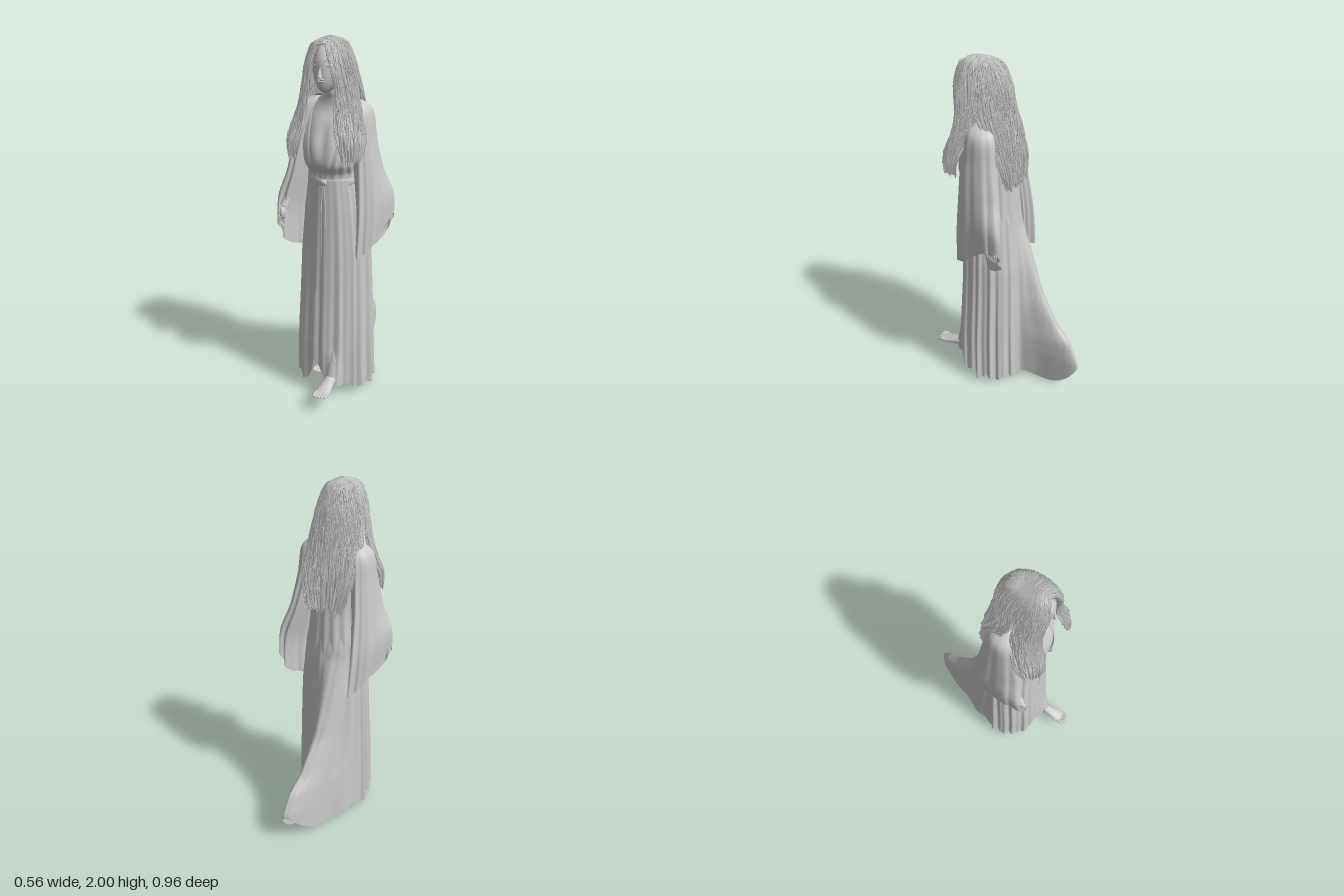
import * as THREE from 'three';
import { ParametricGeometry } from 'three/addons/geometries/ParametricGeometry.js';

const TAU = Math.PI * 2;
const { sin, cos, exp, max, min, abs, floor, PI } = Math;
const mat = new THREE.MeshStandardMaterial({ color: 0xcccccc, side: THREE.DoubleSide });
const V = (x, y, z) => new THREE.Vector3(x, y, z);
const lerp = THREE.MathUtils.lerp;

function seeded(seed) {
  return () => (seed = (seed * 16807) % 2147483647) / 2147483647;
}

// smooth interpolation through a list of equal-length rows, t = 0..1
function rowsAt(rows, t) {
  const n = rows.length - 1, f = min(max(t, 0), 1) * n, i = min(floor(f), n - 1), k = f - i;
  const r = j => rows[min(max(j, 0), n)];
  return rows[i].map((_, c) => {
    const a = r(i - 1)[c], b = r(i)[c], d = r(i + 1)[c], e = r(i + 2)[c];
    return b + 0.5 * k * (d - a + k * (2 * a - 5 * b + 4 * d - e + k * (3 * (b - d) + e - a)));
  });
}

// value of y-sorted (descending) stops at a height
function byHeight(stops, y) {
  for (let i = 1; i < stops.length; i++) {
    const [ya, a] = stops[i - 1], [yb, b] = stops[i];
    if (y >= yb) return lerp(a, b, min(max((ya - y) / (ya - yb), 0), 1));
  }
  return stops[stops.length - 1][1];
}

function add(parent, name, geometry) {
  const m = new THREE.Mesh(geometry, mat);
  m.name = name;
  parent.add(m);
  return m;
}
const surface = (fn, nu, nv) =>
  new ParametricGeometry((u, v, p) => p.copy(fn(u, v)), nu, nv);
const tube = (pts, r, seg = 8, sides = 6) =>
  new THREE.TubeGeometry(new THREE.CatmullRomCurve3(pts), seg, r, sides);
function ellipsoid(parent, name, pos, scale) {
  const m = add(parent, name, new THREE.SphereGeometry(1, 24, 16));
  m.position.set(...pos);
  m.scale.set(...scale);
  return m;
}

// ---- skirt surface: a = angle from the front, v = waist to hem ----
const BACK = PI + 0.42;
const widthStops = [[1.27, 0.14], [1.1, 0.168], [0.85, 0.192], [0.4, 0.21], [0, 0.22]];
const frontStops = [[1.27, 0.24], [1, 0.25], [0.6, 0.27], [0.3, 0.292], [0, 0.298]];
const rearStops = [[1.27, -0.03], [1.1, -0.06], [0.8, -0.085], [0, -0.1]];
const trainStops = [[1.05, 0], [0.8, 0.065], [0.6, 0.13], [0.4, 0.25], [0.32, 0.34], [0.2, 0.395], [0, 0.395]];
function skirtPoint(a, v, hem, out = 0) {
  const w = exp(-((abs(a - BACK) / (a < BACK ? 0.42 : 0.5)) ** 2.6));
  const bottom = max(0, hem * (1 - w) + 0.18 * w ** 4);
  const y = lerp(1.27, bottom, v);
  const fold = 1 + (0.012 + 0.035 * v) * (sin(17 * a) + 0.6 * sin(29 * a + 1)) * (1 - 0.6 * w);
  const f = byHeight(frontStops, y), b = byHeight(rearStops, y), ext = byHeight(trainStops, y) * w;
  // cloth lifted forward over the stepping foot
  const lift = 0.045 * exp(-(((a - 0.35) / 0.2) ** 2)) * max(0, 1 - y / 0.3);
  return V(
    (byHeight(widthStops, y) * fold + out) * sin(a) + 0.25 * ext,
    y,
    (f + b) / 2 + ((f - b) / 2 * (0.6 + 0.4 * fold) + out) * cos(a) - ext + lift);
}

function makeSkirt(g) {
  add(g, 'skirt', surface((u, v) => {
    const a = u * TAU, d = a > PI ? a - TAU : a;
    const hem = 0.037 + 0.026 * cos(a) + 0.016 * sin(11 * a) + 0.22 * exp(-(((d + 0.15) / 0.16) ** 2))
      + 0.05 * exp(-(((d - 0.35) / 0.2) ** 2));
    return skirtPoint(a, v, hem);
  }, 220, 28));
  // overlapping wrap panel with a diagonal free edge
  add(g, 'wrapPanel', surface((u, v) => {
    const edge = v < 0.5 ? -0.12 : -0.12 - 0.28 * (v - 0.5) / 0.5;
    return skirtPoint(lerp(0.9, edge, u), v, 0.09 + 0.2 * u ** 3, 0.008);
  }, 40, 28));
}

// ---- bodice and neck: y, centre z, half width, half depth ----
const torsoRows = [
  [1.24, 0.105, 0.14, 0.135], [1.3, 0.105, 0.135, 0.135], [1.36, 0.13, 0.145, 0.148],
  [1.45, 0.13, 0.15, 0.142], [1.55, 0.11, 0.15, 0.115], [1.63, 0.095, 0.14, 0.08],
  [1.68, 0.105, 0.085, 0.06], [1.72, 0.125, 0.043, 0.048], [1.8, 0.14, 0.04, 0.045]];
function torsoPoint(a, t, out = 0) {
  const [y, cz, rx, rz] = rowsAt(torsoRows, t);
  const x = (rx + out) * sin(a);
  const groove = cos(a) > 0 ? 0.016 * exp(-((x / 0.03) ** 2)) * exp(-(((y - 1.47) / 0.09) ** 2)) : 0;
  return V(x, y, cz + (rz + out) * cos(a) - groove);
}

function makeBody(g) {
  add(g, 'torso', surface((u, v) => torsoPoint(u * TAU, v), 48, 40));
  // crossing bodice fronts leaving a deep V neckline
  for (const s of [-1, 1]) {
    add(g, 'bodiceFront', surface((u, v) => {
      const inner = lerp(-0.12, 0.8, v ** 0.8);
      return torsoPoint(s * lerp(inner, 1.6, u), lerp(0.06, 0.68, v),
        0.004 + 0.003 * sin(u * 30 + v * 5));
    }, 24, 20));
  }
  // loose cloth down the back, running into the skirt
  add(g, 'robeBack', surface((u, v) => {
    const a = PI + lerp(-1.2, 1.2, u), fold = 0.004 * v * sin(u * 40);
    const [y, rx, back] = rowsAt([[1.64, 0.13, 0.01], [1.45, 0.15, -0.03], [1.28, 0.145, -0.045], [1.08, 0.166, -0.06]], v);
    return V((rx + fold) * sin(a), y, 0.1 + (0.1 - back + fold) * cos(a));
  }, 40, 16));
  // narrow waist sash, knot and hanging ends
  add(g, 'sash', surface((u, v) => {
    const a = u * TAU, r = 0.003 + 0.004 * sin(v * PI);
    return V((0.14 + r) * sin(a), 1.24 + 0.04 * v, 0.105 + (0.135 + r) * cos(a));
  }, 48, 6));
  ellipsoid(g, 'sashKnot', [0, 1.26, 0.248], [0.02, 0.018, 0.012]);
  for (const s of [-1, 1])
    add(g, 'sashEnd', tube([V(0, 1.26, 0.25), V(s * 0.01, 1.15, 0.255), V(s * 0.012, 0.9 + s * 0.12, 0.262)], 0.004));
}

// ---- head and face ----
function makeHead(g) {
  const head = new THREE.SphereGeometry(1, 36, 28), p = head.attributes.position;
  for (let i = 0; i < p.count; i++) {
    const x = p.getX(i), y = p.getY(i), z = p.getZ(i), low = max(0, -y), front = max(0, z);
    p.setXYZ(i, x * 0.078 * (1 - 0.35 * low * low), 1.845 + y * 0.125,
      0.155 + z * 0.115 + 0.05 * low * low + 0.008 * front * low);
  }
  head.computeVertexNormals();
  add(g, 'head', head);
  const nose = add(g, 'nose', new THREE.ConeGeometry(0.013, 0.055, 8));
  nose.position.set(0, 1.83, 0.274);
  nose.rotation.x = -0.22;
  for (const y of [1.783, 1.793]) ellipsoid(g, 'lip', [0, y, 0.268], [0.02, 0.006, 0.009]);
  for (const s of [-1, 1]) {
    ellipsoid(g, 'eye', [s * 0.03, 1.858, 0.251], [0.014, 0.008, 0.01]);
    add(g, 'eyebrow', tube([V(s * 0.014, 1.877, 0.262), V(s * 0.032, 1.885, 0.255), V(s * 0.048, 1.878, 0.242)], 0.002));
  }
}

// ---- hair: y, edge A (x, z), edge B (x, z) ----
const frontHair = [
  [1.935, 0.03, 0.262, 0.088, 0.15], [1.86, 0.058, 0.272, 0.113, 0.14], [1.77, 0.073, 0.262, 0.135, 0.135],
  [1.68, 0.078, 0.26, 0.155, 0.135], [1.58, 0.088, 0.285, 0.188, 0.16],
  [1.49, 0.11, 0.315, 0.212, 0.195], [1.38, 0.14, 0.308, 0.195, 0.225]];
const backHair = [
  [1.935, 0.088, 0.15, 0, 0.025], [1.86, 0.115, 0.14, 0, -0.005], [1.77, 0.138, 0.13, 0, -0.015],
  [1.68, 0.15, 0.09, 0, -0.03], [1.58, 0.155, 0.03, 0, -0.048],
  [1.46, 0.14, -0.015, 0, -0.065], [1.315, 0.1, -0.04, 0, -0.066]];
function hairPoint(side, back, u, t) {
  const s = sin(u * PI / 2), c = cos(u * PI / 2);
  const part = back ? lerp(0.15, 0.06, u) : lerp(0.24, 0.15, u);
  const crown = V(0, 1.992 - 3.8 * (part - 0.15) ** 2, part);
  const at = k => {
    const [y, xa, za, xb, zb] = rowsAt(back ? backHair : frontHair, k);
    return back ? V(side * lerp(xb, xa, c), y, lerp(za, zb, s))
      : V(side * lerp(xa, xb, s), y, lerp(za, zb, 1 - c));
  };
  if (t > 0.14) return at((t - 0.14) / 0.86);
  const k = t / 0.14, p = crown.clone().lerp(at(0), k);
  p.y += 0.018 * sin(k * PI);
  p.x += side * 0.01 * sin(k * PI);
  return p;
}

function makeHair(g) {
  const rnd = seeded(77);
  for (const side of [-1, 1]) for (const back of [false, true]) {
    add(g, back ? 'backHairMass' : 'frontHairMass', surface((u, v) => {
      const p = hairPoint(side, back, u, v * 0.95);
      const ridge = 1 + 0.02 * sin(u * 60);
      return V(p.x * ridge, p.y - 0.006, 0.14 + (p.z - 0.14) * ridge);
    }, 40, 24));
    // loose strands lying over and inside the mass
    for (let i = 0; i < 140; i++) {
      const u = rnd(), phase = rnd() * TAU, depth = rnd(), end = 0.84 + 0.16 * rnd(), pts = [];
      for (let k = 0; k <= 9; k++) {
        const t = k / 9 * end, p = hairPoint(side, back, min(1, max(0, u + 0.05 * sin(phase + t * 9))), t);
        // strands sink towards the middle of the lock as it thickens
        const c = back ? V(0, p.y, 0.05) : V(side * 0.15, p.y, 0.23);
        p.lerp(c, max(0, t - 0.4) * (depth * (back ? 0.5 : 0.9) - 0.12));
        p.x += 0.006 * sin(phase * 3 + t * 14);
        p.z += 0.006 * cos(phase * 2 + t * 12);
        pts.push(p);
      }
      add(g, 'hairStrand', tube(pts, 0.0028 + 0.002 * rnd(), 14, 3));
    }
  }
}

// ---- wide sleeves: y, centre x, centre z, half width, half depth, skew of front outwards ----
const sleeveRows = {
  1: [[1.69, 0.09, 0.1, 0.03, 0.03, 0], [1.63, 0.14, 0.09, 0.06, 0.08, 0], [1.48, 0.165, 0.09, 0.055, 0.1, 0],
    [1.3, 0.19, 0.08, 0.055, 0.12, -0.012], [1.12, 0.222, 0.07, 0.048, 0.142, -0.035], [0.95, 0.222, 0.07, 0.045, 0.15, -0.042]],
  [-1]: [[1.69, 0.09, 0.1, 0.03, 0.03, 0], [1.63, 0.14, 0.1, 0.06, 0.08, 0], [1.48, 0.165, 0.1, 0.055, 0.105, 0.005],
    [1.3, 0.188, 0.105, 0.052, 0.13, 0.015], [1.12, 0.213, 0.105, 0.05, 0.16, 0.035], [0.95, 0.21, 0.105, 0.046, 0.175, 0.042]] };
function makeArm(g, s) {
  const arm = new THREE.Group();
  arm.name = s > 0 ? 'leftArm' : 'rightArm';
  g.add(arm);
  add(arm, 'sleeve', surface((u, v) => {
    const a = u * TAU, [y, cx, cz, rx, rz, skew] = rowsAt(sleeveRows[s], v);
    const f = 1 + 0.08 * v * sin(7 * a + s) + 0.04 * v * sin(13 * a);
    // cuff rises over the hand and hangs low on the opposite side
    const rise = (0.5 + 0.3535 * (sin(a) - s * cos(a))) ** 2.5;
    const drop = max(0, v - 0.6) / 0.4 * (0.19 * rise - 0.1);
    return V(s * (cx + rx * f * sin(a) + skew * cos(a)), y + drop, cz + rz * f * cos(a));
  }, 64, 24));
  const wrist = s > 0 ? V(0.24, 1.06, -0.01) : V(-0.235, 1.1, 0.255);
  add(arm, 'forearm', tube([V(s * 0.15, 1.6, 0.09), V(s * 0.185, 1.35, s > 0 ? 0.06 : 0.11), wrist], 0.024, 12, 8));
  const palm = wrist.clone().add(V(0, -0.035, s > 0 ? -0.01 : 0.012));
  ellipsoid(arm, 'palm', palm.toArray(), [0.016, 0.036, 0.026]);
  for (let i = 0; i < 5; i++) {
    const z = (i - 2) * 0.012, len = i === 4 ? 0.045 : 0.07 - 0.006 * abs(i - 1.5);
    add(arm, i === 4 ? 'thumb' : 'finger', tube([palm.clone().add(V(0, -0.01, z)),
      palm.clone().add(V(s * 0.006, -0.01 - len * 0.6, z * 1.3)),
      palm.clone().add(V(-s * 0.01, -0.012 - len, z * 1.3))], 0.006, 5, 5));
  }
}

// ---- legs and bare feet; the left foot steps forward ----
function makeLeg(g, s) {
  const leg = new THREE.Group();
  leg.name = s > 0 ? 'leftLeg' : 'rightLeg';
  g.add(leg);
  const x = s * 0.065, z = s > 0 ? 0.3 : 0.04, y = s > 0 ? 0.085 : 0.06;
  add(leg, 'shin', tube([V(s * 0.07, 1.1, 0.1), V(s * 0.07, 0.6, s > 0 ? 0.18 : 0.12), V(x, y + 0.05, z)], 0.032, 12, 8));
  const rows = [[-0.04, 0.02, 0.03], [0, 0.03, 0.066], [0.05, 0.034, 0.056], [0.11, 0.042, 0.034], [0.15, 0.038, 0.02]];
  add(leg, 'foot', surface((u, v) => {
    const [dz, w, h] = rowsAt(rows, v), a = u * TAU;
    return V(x + w * cos(a), y + h * (0.5 + 0.5 * sin(a)), z + dz);
  }, 16, 12));
  for (let i = 0; i < 5; i++)
    ellipsoid(leg, 'toe', [x + (i - 2) * 0.016, y + 0.016, z + 0.15 - 0.005 * abs(i - 1.5)],
      [i ? 0.008 : 0.011, 0.011, 0.032]);
}

export function createModel() {
  const g = new THREE.Group();
  g.name = 'robedWoman';
  makeSkirt(g);
  makeBody(g);
  makeHead(g);
  makeHair(g);
  for (const s of [1, -1]) {
    makeArm(g, s);
    makeLeg(g, s);
  }
  return g;
}
